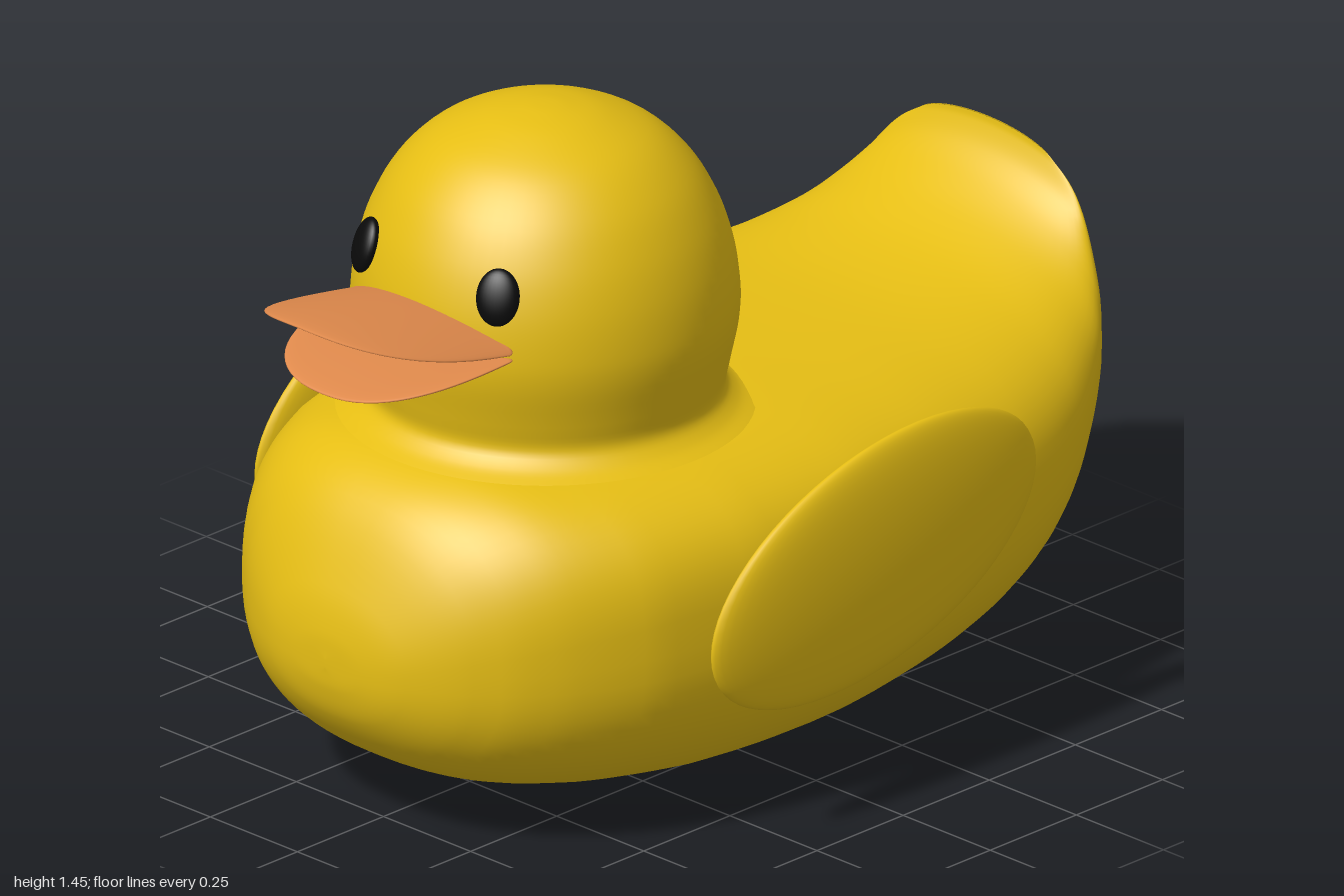
import * as THREE from 'three';

const paint = (color) => new THREE.MeshStandardMaterial({ color });

function add(parent, name, geometry, material) {
  const mesh = new THREE.Mesh(geometry, material);
  mesh.name = name;
  parent.add(mesh);
  return mesh;
}

// Move every vertex of a geometry by a rule, then refresh the normals
function reshape(geometry, rule) {
  const p = geometry.attributes.position;
  const v = new THREE.Vector3();
  for (let i = 0; i < p.count; i++) {
    rule(v.fromBufferAttribute(p, i));
    p.setXYZ(i, v.x, v.y, v.z);
  }
  geometry.computeVertexNormals();
  return geometry;
}

// Body cross-sections, breast to tail: z, bottom, top, half width, height of widest point, squareness of the back
const SECTIONS = [
  [0.92, 0.39, 0.41, 0, 0.4, 2.1],
  [0.915, 0.34, 0.47, 0.1, 0.4, 2.1],
  [0.89, 0.27, 0.56, 0.2, 0.41, 2.2],
  [0.8, 0.17, 0.725, 0.35, 0.43, 2.4],
  [0.68, 0.105, 0.79, 0.46, 0.44, 2.7],
  [0.5, 0.055, 0.8, 0.55, 0.45, 3],
  [0.25, 0.015, 0.8, 0.605, 0.46, 3.2],
  [0, 0.005, 0.8, 0.62, 0.46, 3.2],
  [-0.3, 0.03, 0.795, 0.615, 0.47, 3],
  [-0.55, 0.09, 0.8, 0.58, 0.49, 2.7],
  [-0.72, 0.18, 0.825, 0.53, 0.53, 2.4],
  [-0.84, 0.31, 0.865, 0.47, 0.6, 2.2],
  [-0.92, 0.46, 0.91, 0.41, 0.7, 2],
  [-0.97, 0.64, 0.955, 0.34, 0.8, 2],
  [-0.995, 0.8, 1.0, 0.27, 0.9, 2],
  [-1, 0.9, 1.02, 0.2, 0.96, 2],
];

function bodyGeometry() {
  const rows = 90, sides = 72;
  const heights = new THREE.CatmullRomCurve3(SECTIONS.map((s) => new THREE.Vector3(s[0], s[1], s[2])));
  const widths = new THREE.CatmullRomCurve3(SECTIONS.map((s) => new THREE.Vector3(s[3], s[4], s[5])));
  const positions = [], index = [];
  for (let i = 0; i <= rows + 1; i++) {
    const t = Math.min(i / rows, 1);
    const { x: z, y: bottom, z: top } = heights.getPoint(t);
    const { x: width, y: mid, z: power } = widths.getPoint(t);
    const size = i > rows ? 0 : 1; // the last ring closes the tail tip
    for (let j = 0; j < sides; j++) {
      const a = (j / sides) * Math.PI * 2;
      const c = Math.cos(a), s = Math.sin(a);
      const n = 2 / (s > 0 ? power : 2.4);
      const x = Math.sign(c) * Math.abs(c) ** n * width;
      const y = Math.sign(s) * Math.abs(s) ** n * (s > 0 ? top - mid : mid - bottom);
      positions.push(x * size, mid + y * size, Math.max(z, -1));
      if (i <= rows) {
        const p = i * sides + j, q = i * sides + ((j + 1) % sides);
        index.push(p, p + sides, q, q, p + sides, q + sides);
      }
    }
  }
  const geometry = new THREE.BufferGeometry();
  geometry.setAttribute('position', new THREE.Float32BufferAttribute(positions, 3));
  geometry.setIndex(index);
  geometry.computeVertexNormals();
  return geometry;
}

// Head and neck profile, with a small flare where it meets the body
function headGeometry() {
  const profile = [
    [0.43, 0.785], [0.395, 0.803], [0.37, 0.835], [0.378, 0.89], [0.396, 0.98], [0.398, 1.05],
    [0.385, 1.14], [0.355, 1.23], [0.305, 1.315], [0.23, 1.385], [0.13, 1.43], [0.05, 1.447], [0, 1.45],
  ].map(([r, y]) => new THREE.Vector2(r, y));
  const points = new THREE.SplineCurve(profile).getPoints(60);
  points.forEach((p) => { p.x = Math.max(p.x, 0); });
  return new THREE.LatheGeometry(points, 72);
}

// Half of the bill: a flattened lens with a squarish rounded plan, bent by a height rule
function billGeometry(length, height) {
  const square = (v) => Math.sign(v) * Math.abs(v) ** 0.8;
  return reshape(new THREE.SphereGeometry(1, 64, 32), (v) => {
    const r = Math.hypot(v.x, v.z), a = Math.atan2(v.z, v.x);
    const across = r * square(Math.cos(a)), along = r * square(Math.sin(a));
    const y = height(across, Math.max(along, 0)) + v.y * 0.018;
    v.set(across * 0.235, y, 0.62 + along * (along > 0 ? length : 0.04));
  });
}

export function createModel() {
  const yellow = paint(0xe6be14), orange = paint(0xe08a4c), black = paint(0x0a0a0a);
  const duck = new THREE.Group();
  duck.name = 'duck';

  add(duck, 'body', bodyGeometry(), yellow);
  add(duck, 'head', headGeometry(), yellow).position.z = 0.28;

  // Open bill
  add(duck, 'upperBill', billGeometry(0.38, (u, s) => 1.065 + 0.04 * (1 - u * u) + 0.07 * s), orange);
  add(duck, 'lowerBill', billGeometry(0.31, (u, s) => 1.05 - 0.03 * (1 - u * u) - 0.015 * s), orange);

  for (const [side, label] of [[1, 'left'], [-1, 'right']]) {
    // Lens-shaped wing, slanting up towards the tail
    const wing = reshape(new THREE.SphereGeometry(1, 48, 32), (v) => {
      v.set(v.x * 0.048, 0.265 * (0.958 * v.y - 0.287 * v.z), v.z * 0.47);
    });
    add(duck, label + 'Wing', wing, yellow).position.set(side * 0.655, 0.545, -0.01);

    // Eye lying against the curve of the head
    const eye = add(duck, label + 'Eye', new THREE.SphereGeometry(1, 32, 20), black);
    eye.scale.set(0.046, 0.06, 0.022);
    eye.rotation.set(-0.3, side * 0.5, 0, 'YXZ');
    eye.position.set(side * 0.19, 1.178, 0.61);
  }
  return duck;
}
